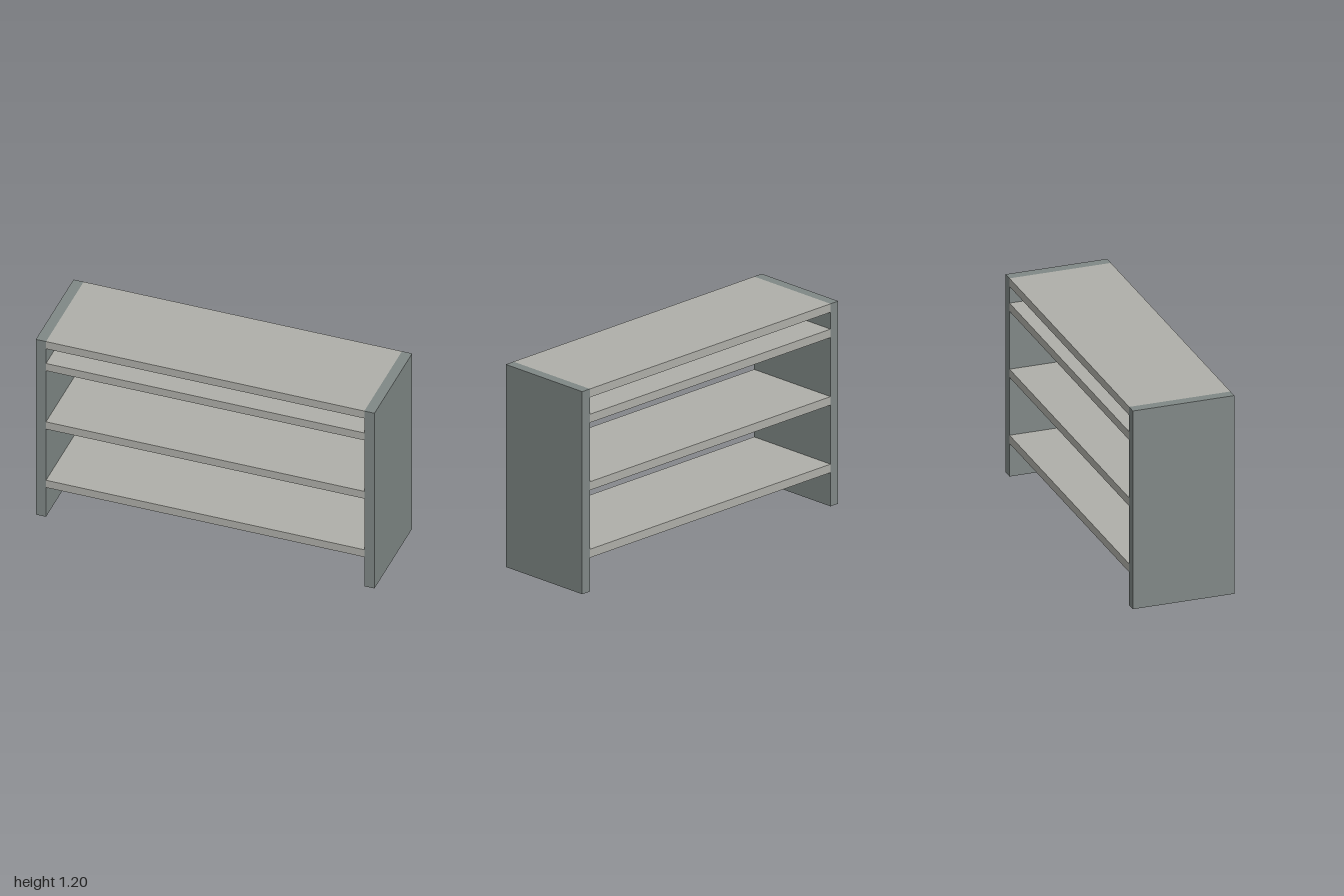
import * as THREE from 'three';

const WIDTH = 2, HEIGHT = 1.2, DEPTH = 0.6, SIDE = 0.06, BOARD = 0.05;

export function createModel() {
  const group = new THREE.Group();
  group.name = 'shelfUnit';

  const panelGrey = new THREE.MeshStandardMaterial({ color: 0x808886 });
  panelGrey.name = 'panelGrey';
  const shelfGrey = new THREE.MeshStandardMaterial({ color: 0xafafa9 });
  shelfGrey.name = 'shelfGrey';

  const addBox = (name, material, w, h, x, y) => {
    const mesh = new THREE.Mesh(new THREE.BoxGeometry(w, h, DEPTH), material);
    mesh.name = name;
    mesh.position.set(x, y, 0);
    group.add(mesh);
  };

  // Upright side panels
  for (const [name, s] of [['leftPanel', 1], ['rightPanel', -1]]) {
    addBox(name, panelGrey, SIDE, HEIGHT, s * (WIDTH - SIDE) / 2, HEIGHT / 2);
  }

  // Boards between the panels, given by their underside height
  const boards = { bottomShelf: 0.2, middleShelf: 0.6, upperShelf: 1, topBoard: HEIGHT - BOARD };
  for (const [name, y] of Object.entries(boards)) {
    addBox(name, shelfGrey, WIDTH - 2 * SIDE, BOARD, 0, y + BOARD / 2);
  }

  return group;
}
